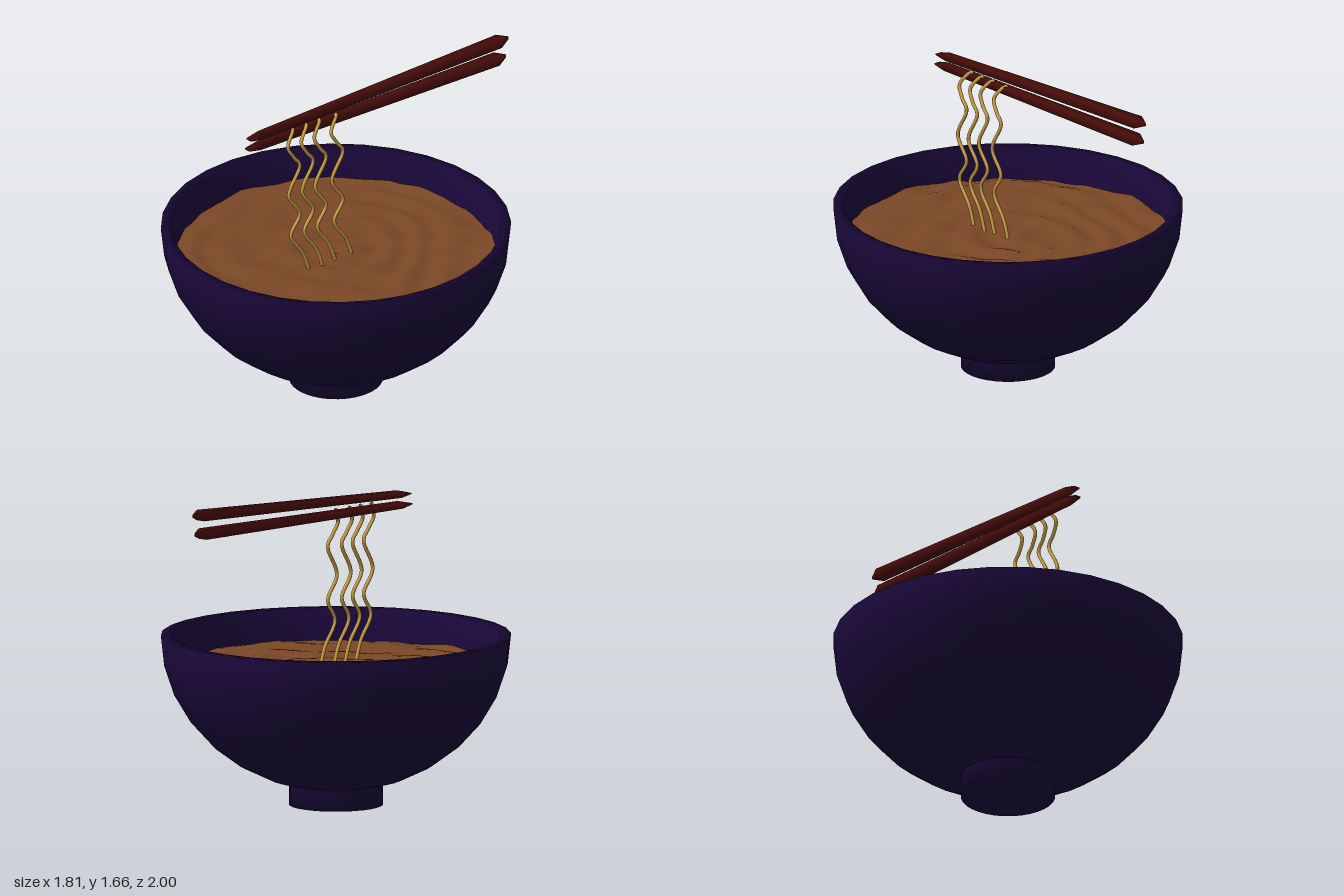
import * as THREE from 'three';
import { mergeVertices } from 'three/addons/utils/BufferGeometryUtils.js';

const BOWL_Z = 0.097, RIM_Y = 0.885, SOUP_Y = 0.722, SIDES = 32;
const mat = (color, side = THREE.FrontSide) => new THREE.MeshStandardMaterial({ color, side });
const v2 = (x, y) => new THREE.Vector2(x, y);

function add(parent, name, geometry, material) {
  const mesh = new THREE.Mesh(geometry, material);
  mesh.name = name;
  parent.add(mesh);
  return mesh;
}

// Quarter-ellipse profile running from the bottom centre up to the rim
function bowlProfile(radius, depth) {
  const pts = [];
  for (let i = 0; i <= 8; i++) {
    const a = (i / 8) * Math.PI / 2;
    pts.push(v2(radius * Math.sin(a), RIM_Y - depth * Math.cos(a)));
  }
  return pts;
}

function createBowl() {
  const bowl = new THREE.Group();
  bowl.name = 'bowl';
  const m = mat(0x1a083a, THREE.DoubleSide);
  // Outside, rim and inside in one smooth shell
  const shell = [...bowlProfile(0.903, 0.81), ...bowlProfile(0.85, 0.757).reverse()];
  add(bowl, 'bowlShell', new THREE.LatheGeometry(shell, SIDES), m);
  // Round foot with a closed base
  add(bowl, 'foot', new THREE.LatheGeometry([v2(0, 0), v2(0.243, 0), v2(0.243, 0.12)], SIDES), m);
  return bowl;
}

// Broth disc with irregular ripples
function createSoup() {
  const disc = new THREE.RingGeometry(0.002, 0.836, 72, 32).rotateX(-Math.PI / 2);
  disc.deleteAttribute('uv');
  disc.deleteAttribute('normal');
  const geo = mergeVertices(disc, 1e-5);
  const p = geo.attributes.position;
  for (let i = 0; i < p.count; i++) {
    const x = p.getX(i), z = p.getZ(i), r = Math.hypot(x, z);
    const warp = 1.8 * Math.sin(6 * x + 2 * z) + 1.5 * Math.sin(7 * z - 4 * x);
    const h = 0.007 * Math.sin(30 * r + warp)
      + 0.007 * Math.sin(19 * x + 9 * z + warp) * Math.sin(17 * z - 6 * x);
    p.setY(i, SOUP_Y + h);
  }
  geo.computeVertexNormals();
  return geo;
}

// Tapered square stick: wedge tip at the front, point at the back
function chopstickGeometry(front, back) {
  // [position along the stick, half width, half height]
  const sections = [
    [0, 0.018, 0.003], [0.045, 0.018, 0.018],
    [0.965, 0.027, 0.027], [1, 0.004, 0.007],
  ];
  const pos = [], index = [];
  for (const [t, w, h] of sections) {
    const c = front.clone().lerp(back, t);
    for (const [sx, sy] of [[-1, -1], [1, -1], [1, 1], [-1, 1]]) pos.push(c.x + sx * w, c.y + sy * h, c.z);
  }
  for (let s = 0; s < sections.length - 1; s++) {
    for (let k = 0; k < 4; k++) {
      const a = s * 4 + k, b = s * 4 + (k + 1) % 4;
      index.push(a, a + 4, b, b, a + 4, b + 4);
    }
  }
  const e = (sections.length - 1) * 4;
  index.push(0, 1, 2, 0, 2, 3, e, e + 2, e + 1, e, e + 3, e + 2);
  const geo = new THREE.BufferGeometry();
  geo.setAttribute('position', new THREE.Float32BufferAttribute(pos, 3));
  geo.setIndex(index);
  geo.computeVertexNormals();
  return geo;
}

// Wavy strand hooked over the lower chopstick and hanging into the soup
function noodleGeometry(dz) {
  const path = [
    [0, 1.535, 0.372], [0.02, 1.525, 0.39], [0.042, 1.46, 0.434],
    [0.052, 1.395, 0.402], [0.052, 1.33, 0.367], [0.052, 1.185, 0.436],
    [0.052, 1.06, 0.367], [0.052, 0.945, 0.422], [0.052, 0.82, 0.345], [0.052, 0.69, 0.3],
  ].map(([x, y, z]) => new THREE.Vector3(x, y, z + dz));
  const curve = new THREE.CatmullRomCurve3(path, false, 'catmullrom', 0.5);
  return new THREE.TubeGeometry(curve, 80, 0.0095, 8);
}

export function createModel() {
  const model = new THREE.Group();
  model.name = 'noodleBowl';

  const bowl = createBowl();
  add(bowl, 'soup', createSoup(), mat(0x7a4726, THREE.DoubleSide));
  bowl.position.z = BOWL_Z;
  model.add(bowl);

  // Pair of chopsticks, one above the other
  const wood = mat(0x480c09);
  const point = (y, z) => new THREE.Vector3(0, y, z);
  add(model, 'upperChopstick', chopstickGeometry(point(1.555, 0.655), point(1.635, -1)), wood);
  add(model, 'lowerChopstick', chopstickGeometry(point(1.5, 0.665), point(1.535, -0.985)), wood);

  // Four hanging noodles
  const noodles = new THREE.Group();
  noodles.name = 'noodles';
  const pasta = mat(0xd2a648, THREE.DoubleSide);
  [0, -0.085, -0.168, -0.275].forEach((dz, i) => add(noodles, `noodle${i + 1}`, noodleGeometry(dz), pasta));
  model.add(noodles);
  return model;
}
